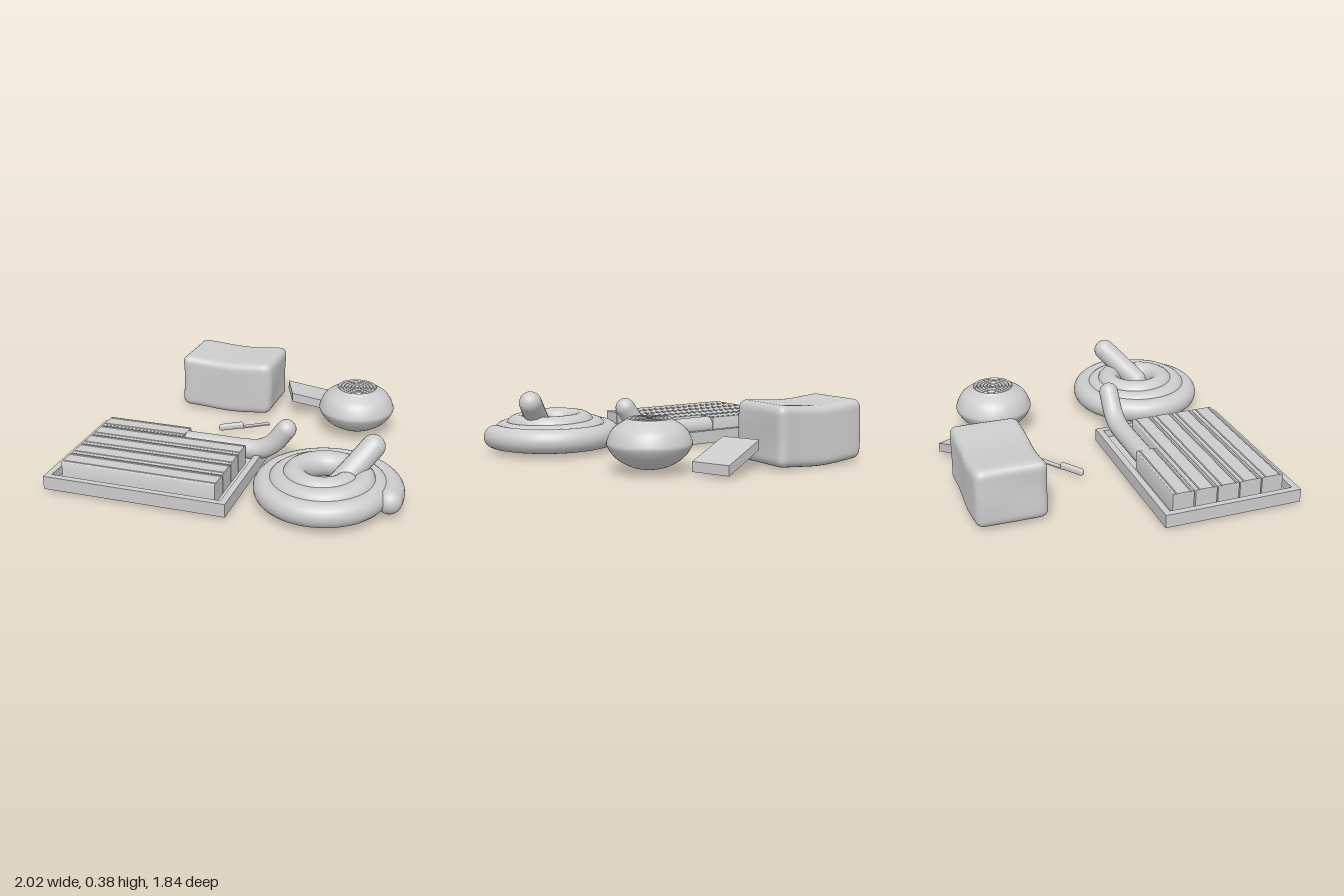
import * as THREE from 'three';
import { RoundedBoxGeometry } from 'three/addons/geometries/RoundedBoxGeometry.js';
import { toCreasedNormals } from 'three/addons/utils/BufferGeometryUtils.js';

const V = (x, y, z) => new THREE.Vector3(x, y, z);

export function createModel() {
  const model = new THREE.Group();
  const grey = new THREE.MeshStandardMaterial({ color: 0xcccccc });
  grey.name = 'plain grey';

  const add = (name, geometry, x = 0, y = 0, z = 0, parent = model) => {
    const mesh = new THREE.Mesh(geometry, grey);
    mesh.name = name;
    mesh.position.set(x, y, z);
    parent.add(mesh);
    return mesh;
  };

  // Tube with rounded ends
  const sausage = (name, points, radius, segments) => {
    const group = new THREE.Group();
    group.name = name;
    const curve = new THREE.CatmullRomCurve3(points);
    add(name + 'Body', new THREE.TubeGeometry(curve, segments, radius, 20), 0, 0, 0, group);
    for (const p of [points[0], points[points.length - 1]])
      add(name + 'End', new THREE.SphereGeometry(radius, 20, 14), p.x, p.y, p.z, group);
    model.add(group);
  };

  // Shallow tray: floor and four walls
  const tray = new THREE.Group();
  tray.name = 'tray';
  model.add(tray);
  add('trayFloor', new THREE.BoxGeometry(1.105, 0.03, 0.83), -0.4475, 0.035, 0.465, tray);
  for (const s of [-1, 1]) {
    add('trayLongWall', new THREE.BoxGeometry(1.105, 0.08, 0.038), -0.4475, 0.06, 0.465 + s * 0.396, tray);
    add('traySideWall', new THREE.BoxGeometry(0.038, 0.08, 0.76), -0.4475 + s * 0.5335, 0.06, 0.465, tray);
  }

  // Strips lying in the tray, with two shallow grooves along the top
  const strip = (name, x0, x1, z0, z1) => {
    const w = (z1 - z0) / 2, h = 0.12, c = 0.008;
    const s = new THREE.Shape();
    s.moveTo(-w, 0);
    s.lineTo(w, 0);
    s.lineTo(w, h - c);
    s.quadraticCurveTo(w, h, w - c, h);
    for (const g of [w * 0.68, -w * 0.68]) {
      s.lineTo(g + 0.004, h);
      s.lineTo(g, h - 0.006);
      s.lineTo(g - 0.004, h);
    }
    s.lineTo(c - w, h);
    s.quadraticCurveTo(-w, h, -w, h - c);
    const geo = new THREE.ExtrudeGeometry(s, { depth: x1 - x0, bevelEnabled: false, curveSegments: 4 });
    geo.rotateY(Math.PI / 2);
    add(name, toCreasedNormals(geo, 0.6), x0, 0.05, (z0 + z1) / 2);
  };
  strip('shortStrip', -0.915, -0.38, 0.127, 0.255);
  for (let i = 0; i < 4; i++) strip('strip', -0.915, 0.02, 0.265 + i * 0.137, 0.395 + i * 0.137);

  // Bent sausage leaving the tray
  sausage('bentSausage', [V(-0.4, 0.11, 0.191), V(-0.2, 0.11, 0.191), V(-0.02, 0.11, 0.191),
    V(0.09, 0.122, 0.191), V(0.17, 0.17, 0.191), V(0.25, 0.272, 0.191)], 0.06, 50);

  // Coiled sausage: rising spiral, with a loose end standing out of the middle
  const coil = [];
  const start = 0.4, end = Math.PI * 6 + 0.12, steps = 72;
  for (let i = 0; i <= steps; i++) {
    const t = i / steps, a = start + (end - start) * t;
    const r = 0.14 + 0.08 * (a - start) / (Math.PI * 2);
    const y = 0.167 - 0.064 * THREE.MathUtils.smoothstep(t, 0.1, 0.8);
    coil.push(V(0.575 + r * Math.cos(a), y, 0.525 + r * Math.sin(a)));
  }
  sausage('coiledSausage', coil, 0.073, 220);
  sausage('coilLooseEnd', [V(0.65, 0.14, 0.55), V(0.73, 0.23, 0.46), V(0.808, 0.323, 0.372)], 0.069, 16);

  // Round bulb with rings on its flat top
  const side = new THREE.SplineCurve([[0, 0.03], [0.09, 0.038], [0.18, 0.085], [0.232, 0.15],
    [0.235, 0.19], [0.2, 0.255], [0.128, 0.303]].map(([x, y]) => new THREE.Vector2(x, y)));
  const profile = side.getPoints(36);
  profile[0].x = 0;
  for (let i = 1; i <= 60; i++) {
    const r = 0.128 * (1 - i / 60);
    profile.push(new THREE.Vector2(r, 0.303 + 0.008 * Math.sin(i / 60 * Math.PI * 12)));
  }
  add('bulb', new THREE.LatheGeometry(profile, 48), 0.52, 0, -0.5);

  // Soft rounded block, sagging in the middle
  const block = new RoundedBoxGeometry(0.625, 0.355, 0.415, 6, 0.045);
  // Finer, softer block surface
  const soft = new THREE.BoxGeometry(0.62, 0.35, 0.41, 32, 20, 24);
  block.dispose();
  const p = soft.attributes.position, half = V(0.31, 0.175, 0.205), radius = 0.045;
  for (let i = 0; i < p.count; i++) {
    const v = V(p.getX(i), p.getY(i), p.getZ(i));
    const core = v.clone().clamp(half.clone().negate().addScalar(radius), half.clone().subScalar(radius));
    const out = v.sub(core).normalize();
    const q = core.addScaledVector(out, radius);
    const wave = Math.cos(q.x * 9.5);
    p.setXYZ(i, q.x + 0.005 * Math.sin(q.y * 14 + q.z * 6), q.y - 0.009 * wave, q.z + 0.005 * Math.sin(q.x * 12));
  }
  soft.deleteAttribute('uv');
  soft.deleteAttribute('normal');
  add('block', toCreasedNormals(soft, 1.2), -0.38, 0.191, -0.715);

  // Tilted slab leaning beside the block
  const lean = new THREE.Shape();
  lean.moveTo(-0.165, 0.12);
  lean.lineTo(0.165, 0.025);
  lean.lineTo(0.165, 0.083);
  lean.lineTo(-0.165, 0.178);
  const slabGeo = new THREE.ExtrudeGeometry(lean, { depth: 0.233, bevelEnabled: false });
  slabGeo.translate(0, 0, -0.1165);
  add('slab', slabGeo, 0.178, 0, -0.745).rotation.y = 0.39;

  // Small knife: rounded handle and thin blade
  const knife = new THREE.Group();
  knife.name = 'knife';
  knife.position.set(-0.17, 0, -0.275);
  knife.rotation.y = 0.6;
  model.add(knife);
  add('knifeHandle', new RoundedBoxGeometry(0.165, 0.042, 0.036, 4, 0.016), -0.085, 0.045, 0, knife);
  add('knifeBlade', new THREE.BoxGeometry(0.2, 0.008, 0.034), 0.07, 0.03, 0, knife);

  return model;
}
